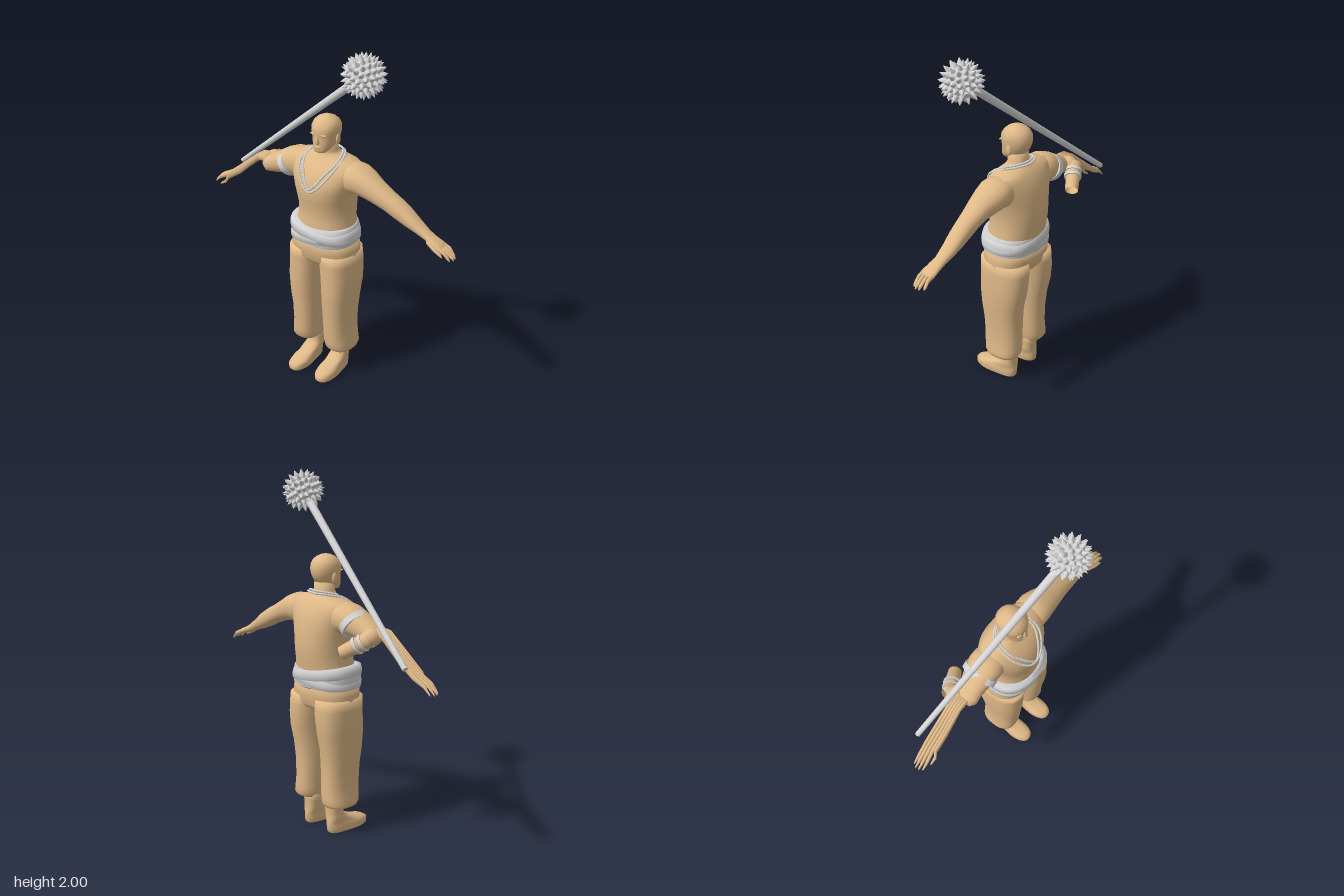
import * as THREE from 'three';
import { mergeGeometries } from 'three/addons/utils/BufferGeometryUtils.js';

const V = (x, y, z) => new THREE.Vector3(x, y, z);

// Loft along 'x' or 'y'. Each row: [t, a0, a1, b0, b1]; a is y (or x), b is z.
function loft(axis, rows, n = 2.2, seg = 28) {
  const pos = [], idx = [];
  const put = (t, a, b) => (axis === 'y' ? pos.push(a, t, b) : pos.push(t, a, b));
  for (const [t, a0, a1, b0, b1] of rows) {
    for (let i = 0; i < seg; i++) {
      const c = Math.cos((i / seg) * Math.PI * 2), s = Math.sin((i / seg) * Math.PI * 2);
      const p = (v) => Math.sign(v) * Math.abs(v) ** (2 / n);
      put(t, (a0 + a1) / 2 + (p(c) * (a1 - a0)) / 2, (b0 + b1) / 2 + (p(s) * (b1 - b0)) / 2);
    }
  }
  const last = rows.length - 1;
  for (let r = 0; r < last; r++) {
    for (let i = 0; i < seg; i++) {
      const j = (i + 1) % seg, a = r * seg + i, b = r * seg + j;
      idx.push(a, a + seg, b, b, a + seg, b + seg);
    }
  }
  // end caps
  for (const r of [0, last]) {
    const [t, a0, a1, b0, b1] = rows[r], c = pos.length / 3;
    put(t, (a0 + a1) / 2, (b0 + b1) / 2);
    for (let i = 0; i < seg; i++) {
      const a = r * seg + i, b = r * seg + ((i + 1) % seg);
      idx.push(c, ...(r ? [b, a] : [a, b]));
    }
  }
  // turn faces outward if the sections ran the other way
  const flip = (axis === 'y') === (rows[last][0] > rows[0][0]);
  if (!flip) for (let i = 0; i < idx.length; i += 3) [idx[i], idx[i + 1]] = [idx[i + 1], idx[i]];
  const g = new THREE.BufferGeometry();
  g.setAttribute('position', new THREE.Float32BufferAttribute(pos, 3));
  g.setIndex(idx);
  g.computeVertexNormals();
  return g;
}

// Move each vertex by a rule
function bend(g, rule) {
  const p = g.attributes.position, v = V(0, 0, 0);
  for (let i = 0; i < p.count; i++) {
    rule(v.fromBufferAttribute(p, i));
    p.setXYZ(i, v.x, v.y, v.z);
  }
  g.computeVertexNormals();
  return g;
}

// Tapered round bar between two points
function bar(p0, p1, r0, r1, open = false) {
  const d = p1.clone().sub(p0);
  const g = new THREE.CylinderGeometry(r1, r0, d.length(), 20, 1, open);
  g.applyQuaternion(new THREE.Quaternion().setFromUnitVectors(V(0, 1, 0), d.normalize()));
  const m = p0.clone().add(p1).multiplyScalar(0.5);
  return g.translate(m.x, m.y, m.z);
}

const ball = (x, y, z, rx, ry, rz) => new THREE.SphereGeometry(1, 20, 14).scale(rx, ry, rz).translate(x, y, z);

export function createModel() {
  const root = new THREE.Group();
  const skin = new THREE.MeshStandardMaterial({ color: 0xdeb887 });
  skin.name = 'tan';
  const skinOpen = skin.clone();
  skinOpen.side = THREE.DoubleSide;
  const grey = new THREE.MeshStandardMaterial({ color: 0xd3d3d3 });
  grey.name = 'light grey';
  const add = (name, g, m = skin) => {
    const mesh = new THREE.Mesh(g, m);
    mesh.name = name;
    root.add(mesh);
    return mesh;
  };

  // Torso and neck
  add('torso', loft('y', [
    [0.84, -0.19, 0.19, -0.165, 0.13], [0.95, -0.172, 0.172, -0.172, 0.125], [1.0, -0.16, 0.16, -0.18, 0.115],
    [1.06, -0.158, 0.158, -0.19, 0.115], [1.12, -0.165, 0.165, -0.19, 0.128], [1.18, -0.178, 0.178, -0.186, 0.135],
    [1.23, -0.195, 0.195, -0.178, 0.125], [1.28, -0.21, 0.21, -0.163, 0.1], [1.315, -0.215, 0.215, -0.145, 0.07],
    [1.338, -0.19, 0.19, -0.13, 0.045], [1.352, -0.13, 0.13, -0.115, 0.03], [1.368, -0.075, 0.075, -0.1, 0.02],
    [1.385, -0.058, 0.058, -0.088, 0.02], [1.44, -0.054, 0.054, -0.085, 0.025],
  ], 2.2, 40));

  // Head and face
  add('head', loft('y', [
    [1.383, -0.02, 0.02, 0.015, 0.052], [1.388, -0.034, 0.034, 0.0, 0.06], [1.405, -0.05, 0.05, -0.04, 0.064],
    [1.43, -0.061, 0.061, -0.085, 0.063], [1.46, -0.069, 0.069, -0.102, 0.06], [1.48, -0.074, 0.074, -0.108, 0.061],
    [1.5, -0.077, 0.077, -0.111, 0.065], [1.525, -0.077, 0.077, -0.108, 0.06], [1.548, -0.067, 0.067, -0.095, 0.046],
    [1.564, -0.05, 0.05, -0.076, 0.027], [1.575, -0.028, 0.028, -0.052, 0.004], [1.579, -0.01, 0.01, -0.034, -0.014],
  ], 2.1, 32));
  add('nose', loft('y', [
    [1.436, -0.011, 0.011, 0.045, 0.07], [1.444, -0.014, 0.014, 0.045, 0.077],
    [1.465, -0.008, 0.008, 0.045, 0.069], [1.487, -0.006, 0.006, 0.045, 0.064],
  ], 2, 12));
  add('lips', ball(0, 1.418, 0.06, 0.021, 0.007, 0.008));
  for (const s of [-1, 1]) {
    add('ear', ball(s * 0.074, 1.455, -0.025, 0.009, 0.03, 0.018).rotateX(0));
    add('brow', ball(s * 0.03, 1.488, 0.053, 0.022, 0.006, 0.009));
  }

  // Hips, trouser legs, ankles and feet
  add('trouserSeat', loft('y', [
    [0.735, -0.19, 0.19, -0.14, 0.1], [0.76, -0.2, 0.2, -0.16, 0.122],
    [0.82, -0.198, 0.198, -0.167, 0.13], [0.88, -0.19, 0.19, -0.165, 0.132],
  ], 2.4, 36));
  for (const s of [-1, 1]) {
    const side = (rows) => rows.map(([t, a, b, c, d]) => [t, s > 0 ? a : -b, s > 0 ? b : -a, c, d]);
    add('trouserLeg', loft('y', side([
      [0.165, 0.055, 0.18, -0.1, 0.05], [0.172, 0.04, 0.196, -0.118, 0.078], [0.19, 0.033, 0.201, -0.128, 0.09],
      [0.225, 0.029, 0.194, -0.13, 0.096], [0.29, 0.028, 0.187, -0.128, 0.1], [0.4, 0.024, 0.19, -0.13, 0.106],
      [0.5, 0.022, 0.2, -0.138, 0.117], [0.6, 0.018, 0.206, -0.16, 0.123], [0.68, 0.011, 0.205, -0.168, 0.122],
      [0.74, 0.004, 0.203, -0.168, 0.123], [0.8, 0.0, 0.198, -0.165, 0.126],
    ]), 2.4, 32));
    add('foot', bend(loft('y', side([
      [0, 0.045, 0.148, -0.08, 0.18], [0.008, 0.037, 0.155, -0.088, 0.188], [0.036, 0.036, 0.155, -0.092, 0.19],
      [0.05, 0.037, 0.152, -0.093, 0.165], [0.066, 0.04, 0.148, -0.092, 0.105], [0.085, 0.042, 0.143, -0.09, 0.052],
      [0.105, 0.044, 0.138, -0.088, 0.015], [0.14, 0.043, 0.137, -0.09, 0.0], [0.2, 0.035, 0.145, -0.098, 0.01],
    ]), 2.5), (v) => {
      // narrower heel, toes slightly outward
      if (v.y < 0.08) v.x = s * 0.094 + (v.x - s * 0.094) * (v.z < 0 ? 0.82 : 0.82 + Math.min(1, v.z / 0.1) * 0.18);
    }));
  }

  // Waist sash: a base wrap and two crossing bands
  const wrap = (lo, hi, grow, tilt) => bend(loft('y', [
    [lo, -0.185, 0.185, -0.165, 0.135], [lo + 0.006, -0.193 - grow, 0.193 + grow, -0.173 - grow, 0.143 + grow],
    [(lo + hi) / 2, -0.192 - grow, 0.192 + grow, -0.175 - grow, 0.147 + grow],
    [hi - 0.006, -0.182 - grow, 0.182 + grow, -0.173 - grow, 0.143 + grow], [hi, -0.165, 0.165, -0.165, 0.12],
  ], 2.4, 40), (v) => { v.y += v.x * tilt; });
  add('sashBase', wrap(0.858, 0.965, 0, 0), grey);
  add('sashBandFalling', wrap(0.895, 0.962, 0.006, -0.13), grey);
  add('sashBandRising', wrap(0.868, 0.932, 0.004, 0.1), grey);

  // Left arm, hand and fingers (rows run outward along x)
  const arm = [
    [0.1, 1.2, 1.32, -0.11, 0.03], [0.17, 1.175, 1.343, -0.132, 0.058], [0.22, 1.178, 1.338, -0.132, 0.058],
    [0.27, 1.17, 1.318, -0.12, 0.05], [0.33, 1.155, 1.284, -0.1, 0.04], [0.4, 1.13, 1.243, -0.092, 0.028],
  ];
  add('leftArm', loft('x', [...arm,
    [0.46, 1.1, 1.213, -0.088, 0.02], [0.52, 1.076, 1.175, -0.086, 0.014], [0.58, 1.056, 1.126, -0.08, 0.006],
    [0.64, 1.034, 1.084, -0.07, 0.0], [0.68, 1.02, 1.063, -0.07, 0.008], [0.72, 1.007, 1.044, -0.073, 0.012],
    [0.745, 1.002, 1.028, -0.07, 0.01]]));
  [-0.06, -0.039, -0.018, 0.003].forEach((z, i) => {
    const e = [0.795, 0.81, 0.812, 0.8][i];
    add('leftFinger', loft('x', [[0.72, 1.01, 1.038, z - 0.011, z + 0.011],
      [0.765, 0.996, 1.02, z - 0.01, z + 0.01], [e - 0.01, 0.975, 0.994, z - 0.009, z + 0.009],
      [e, 0.969, 0.978, z - 0.004, z + 0.004]], 2, 10));
  });
  add('leftThumb', loft('x', [[0.66, 1.025, 1.055, -0.02, 0.01], [0.71, 1.005, 1.03, 0.002, 0.024],
    [0.75, 0.99, 1.008, 0.01, 0.026], [0.762, 0.985, 0.994, 0.014, 0.022]], 2, 10));

  // Right upper arm, bent elbow and open forearm
  add('rightUpperArm', loft('x', [...arm.slice(0, 5), [0.385, 1.15, 1.253, -0.095, 0.045],
    [0.415, 1.165, 1.235, -0.085, 0.025]].map(([t, ...r]) => [-t, ...r])));
  add('rightElbow', ball(-0.41, 1.2, -0.075, 0.047, 0.048, 0.055));
  const e0 = V(-0.425, 1.2, -0.1), e1 = V(-0.295, 1.113, -0.18);
  add('rightForearm', bar(e0, e1, 0.046, 0.036, true), skinOpen);
  const along = e1.clone().sub(e0);
  for (const k of [0.22, 0.42]) {
    const c = e0.clone().addScaledVector(along, k), d = e0.clone().addScaledVector(along, k + 0.09);
    add('bracelet', bar(c, d, 0.05, 0.048), grey);
  }
  // Armband
  const band = new THREE.CylinderGeometry(1, 1, 0.036, 32).scale(0.08, 1, 0.1);
  add('armband', band.rotateZ(Math.PI / 2 + 0.56).translate(-0.25, 1.238, -0.037), grey);

  // Right hand, drawn out in long strands
  for (const [z0, z1, z2, x, drop] of [[-0.06, -0.062, -0.055, -0.8, 0], [-0.045, -0.044, -0.036, -0.812, 0],
    [-0.03, -0.026, -0.016, -0.812, 0], [-0.015, -0.008, 0.003, -0.8, 0], [0.0, 0.006, 0.018, -0.75, 0.012]]) {
    add('rightFingerStrand', loft('x', [[-0.41, 1.205, 1.245, z0 - 0.012, z0 + 0.012],
      [-0.47, 1.195, 1.238, z0 - 0.011, z0 + 0.011],
      [-0.6, 1.088 - drop, 1.135, z1 - 0.011, z1 + 0.011], [-0.69, 1.03 - drop, 1.066, z1 - 0.01, z1 + 0.011],
      [x + 0.04, 1.0 - drop, 1.024 - drop, z2 - 0.009, z2 + 0.009], [x, 0.97, 0.98, z2 - 0.004, z2 + 0.004]], 2, 10));
  }

  // Two beaded necklaces
  const strand = (half, name) => {
    const pts = [...half, ...half.slice(1, -1).reverse().map(([x, y, z]) => [-x, y, z])].map((p) => V(...p));
    const path = new THREE.CatmullRomCurve3(pts, true);
    const beads = path.getSpacedPoints(110).slice(1).map((p) =>
      new THREE.SphereGeometry(0.0062, 8, 6).translate(p.x, p.y, p.z));
    add(name, mergeGeometries([...beads, new THREE.TubeGeometry(path, 100, 0.0035, 6, true)]), grey);
  };
  strand([[0, 1.185, 0.143], [0.04, 1.205, 0.137], [0.085, 1.26, 0.108], [0.115, 1.315, 0.062],
    [0.115, 1.352, -0.01], [0.08, 1.372, -0.08], [0, 1.374, -0.108]], 'longNecklace');
  strand([[0, 1.2, 0.143], [0.03, 1.225, 0.13], [0.07, 1.285, 0.094], [0.1, 1.33, 0.045],
    [0.098, 1.364, -0.02], [0.07, 1.382, -0.075], [0, 1.385, -0.098]], 'shortNecklace');

  // Mace: tapered staff and spiked ball
  const head = V(0.305, 1.885, 0.083);
  add('staff', bar(V(-0.685, 1.095, -0.115), head, 0.015, 0.023), grey);
  const parts = [new THREE.SphereGeometry(0.09, 32, 20)];
  for (let r = -4; r <= 4; r++) {
    const lat = (r * Math.PI) / 10, count = Math.round(16 * Math.cos(lat));
    for (let i = 0; i < count; i++) {
      const lon = ((i + (r & 1) / 2) / count) * Math.PI * 2;
      const d = V(Math.cos(lat) * Math.cos(lon), Math.sin(lat), Math.cos(lat) * Math.sin(lon));
      parts.push(bar(d.clone().multiplyScalar(0.084), d.clone().multiplyScalar(0.119), 0.017, 0.001));
    }
  }
  for (const s of [-1, 1]) parts.push(bar(V(0, s * 0.08, 0), V(0, s * 0.1, 0), 0.022, 0.016));
  const mace = add('spikedBall', mergeGeometries(parts), grey);
  mace.quaternion.setFromUnitVectors(V(0, 1, 0), V(-0.5, 0.4, 0.75).normalize());
  mace.position.copy(head);
  return root;
}
